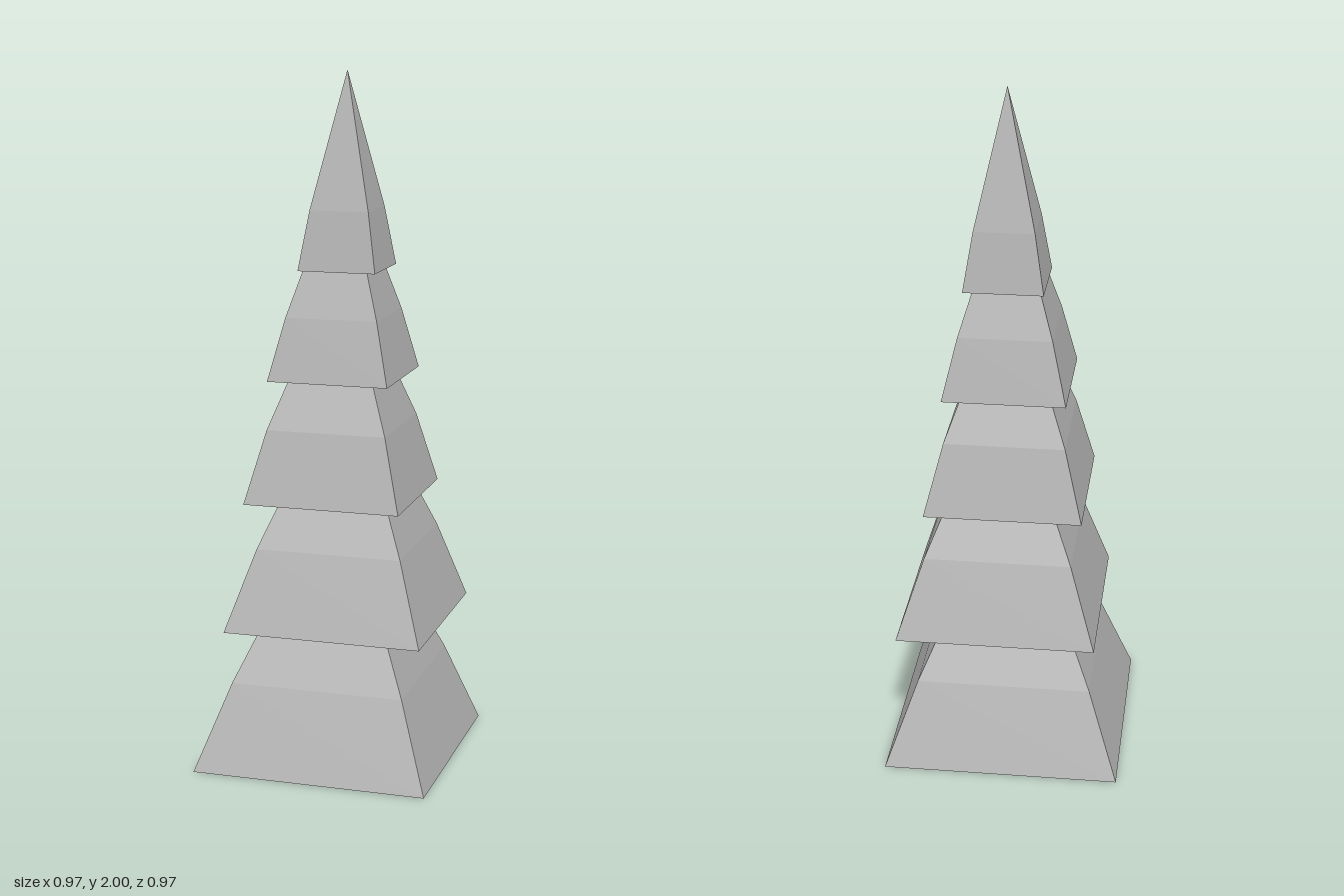
import * as THREE from 'three';

// Four-sided surface from a bottom-to-top profile of [radius, height]
function makeFourSided(name, profile, material) {
  const points = profile.map(([r, y]) => new THREE.Vector2(r, y));
  const mesh = new THREE.Mesh(new THREE.LatheGeometry(points, 4), material);
  mesh.name = name;
  return mesh;
}

function makeMaterial(name, color) {
  const material = new THREE.MeshStandardMaterial({ color, flatShading: true });
  material.name = name;
  return material;
}

export function createModel() {
  const tree = new THREE.Group();
  tree.name = 'tree';
  const lightGrey = makeMaterial('lightGrey', 0xb1b1b1);
  const darkGrey = makeMaterial('darkGrey', 0x707070);

  // base centre x, y, z; base radius; bulge radius and height; total height
  const tiers = [
    [0, 0, 0, 0.487, 0.36, 0.25, 0.83],
    [0.02, 0.41, 0.01, 0.41, 0.302, 0.235, 0.755],
    [0, 0.782, 0.01, 0.323, 0.247, 0.21, 0.69],
    [0.01, 1.13, 0, 0.25, 0.19, 0.18, 0.62],
    [0.02, 1.44, 0, 0.161, 0.122, 0.17, 0.56],
  ];
  tiers.forEach(([x, y, z, r, bulgeR, bulgeY, h], i) => {
    const tier = new THREE.Group();
    tier.name = `tier${i + 1}`;
    // Sloping foliage and its darker flat underside
    tier.add(
      makeFourSided('foliage', [[r, 0], [bulgeR, bulgeY], [0, h]], lightGrey),
      makeFourSided('underside', [[0, 0], [r, 0]], darkGrey),
    );
    tier.position.set(x, y, z);
    tree.add(tier);
  });
  return tree;
}
